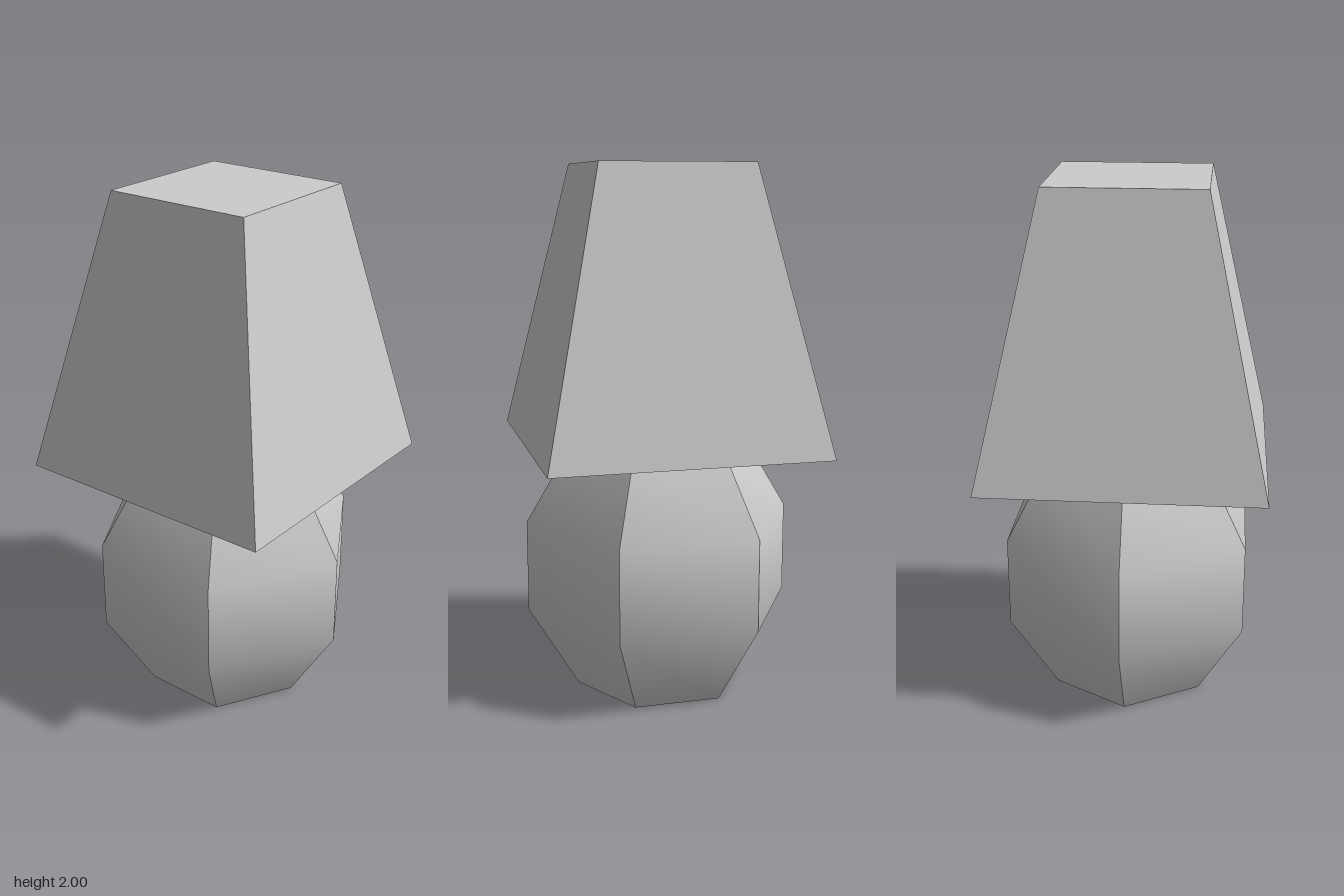
import * as THREE from 'three';
import { mergeGeometries } from 'three/addons/utils/BufferGeometryUtils.js';

export function createModel() {
  const model = new THREE.Group();
  model.name = 'tableLamp';
  const lightGrey = new THREE.MeshStandardMaterial({ color: 0xcccccc });
  lightGrey.name = 'lightGrey';

  // Hexagonal base: six separate panels, each smooth up its height and creased at its sides
  const profile = [[0.325, 0], [0.517, 0.32], [0.517, 0.67], [0.325, 0.99]]
    .map(([r, y]) => new THREE.Vector2(r, y));
  const panels = [];
  for (let i = 0; i < 6; i++) {
    const panel = new THREE.LatheGeometry(profile, 1, Math.PI / 6 + i * Math.PI / 3, Math.PI / 3);
    panel.computeVertexNormals();
    panels.push(panel);
  }
  // Flat underside with corners on the x axis
  panels.push(new THREE.CircleGeometry(0.325, 6).rotateX(Math.PI / 2));
  const base = new THREE.Mesh(mergeGeometries(panels), lightGrey);
  base.name = 'base';
  model.add(base);

  // Square tapered shade, closed at both ends
  const bottom = 0.963, height = 2 - bottom;
  const shadeGeometry = new THREE.CylinderGeometry(0.285 * Math.SQRT2, 0.517 * Math.SQRT2, height, 4)
    .rotateY(Math.PI / 4)
    .toNonIndexed();
  shadeGeometry.computeVertexNormals();
  const shade = new THREE.Mesh(shadeGeometry, lightGrey);
  shade.name = 'shade';
  shade.position.y = bottom + height / 2;
  model.add(shade);

  return model;
}
